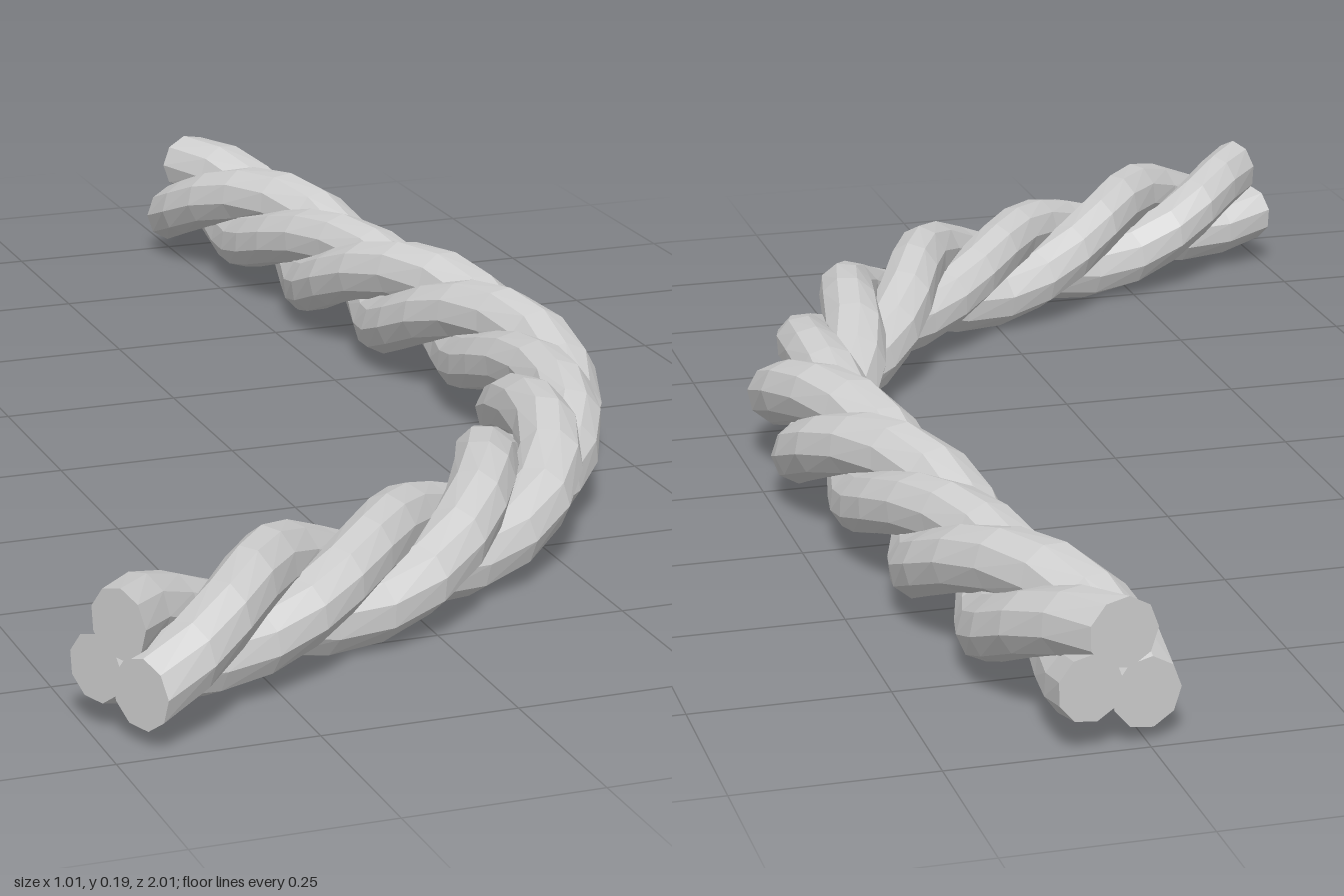
import * as THREE from 'three';

const SEGMENTS = 34;   // rings along the rope
const SIDES = 9;       // facets around each strand
const PITCH = 0.70;    // rope length per full twist
const HEIGHT = 0.097;  // height of the rope's axis

// Axis of the rope, from the front end to the back end (x, z)
const axis = new THREE.CatmullRomCurve3([
  [-0.475, 0.925], [-0.2, 0.785], [0, 0.672], [0.19, 0.52], [0.325, 0.33],
  [0.4, 0.12], [0.41, -0.1], [0.375, -0.4], [0.335, -0.72], [0.288, -0.992],
].map(([x, z]) => new THREE.Vector3(x, HEIGHT, z)));

// One strand: a faceted section carried around the axis, square-cut at both ends
function strandGeometry(phase, offset, radius) {
  const positions = [];
  const index = [];
  const length = axis.getLength();
  const up = new THREE.Vector3(0, 1, 0);

  for (let i = 0; i <= SEGMENTS; i++) {
    const t = i / SEGMENTS;
    const centre = axis.getPointAt(t);
    const side = axis.getTangentAt(t).cross(up).normalize();
    const twist = phase + (t * length / PITCH) * Math.PI * 2;
    const put = (a, b) => {
      const p = centre.clone().addScaledVector(side, a).addScaledVector(up, b);
      positions.push(p.x, p.y, p.z);
    };
    for (let j = 0; j < SIDES; j++) {
      const angle = twist + (j / SIDES) * Math.PI * 2;
      put(offset * Math.cos(twist) + radius * Math.cos(angle),
        offset * Math.sin(twist) + radius * Math.sin(angle));
    }
  }

  const at = (i, j) => i * SIDES + (j % SIDES);
  for (let i = 0; i < SEGMENTS; i++) {
    for (let j = 0; j < SIDES; j++) {
      index.push(at(i, j), at(i + 1, j), at(i, j + 1));
      index.push(at(i + 1, j), at(i + 1, j + 1), at(i, j + 1));
    }
  }
  // End caps
  for (let j = 1; j < SIDES - 1; j++) {
    index.push(at(0, 0), at(0, j), at(0, j + 1));
    index.push(at(SEGMENTS, 0), at(SEGMENTS, j + 1), at(SEGMENTS, j));
  }

  const geometry = new THREE.BufferGeometry();
  geometry.setAttribute('position', new THREE.Float32BufferAttribute(positions, 3));
  geometry.setIndex(index);
  geometry.computeVertexNormals();
  return geometry;
}

export function createModel() {
  const rope = new THREE.Group();
  rope.name = 'rope';
  const material = new THREE.MeshStandardMaterial({ color: 0xcccccc, flatShading: true });

  // Three strands a third of a turn apart, the last one lying slightly deeper
  const strands = [
    ['firstStrand', 85, 0.049, 0.045],
    ['secondStrand', -35, 0.049, 0.045],
    ['thirdStrand', 205, 0.037, 0.043],
  ];
  for (const [name, degrees, offset, radius] of strands) {
    const geometry = strandGeometry(THREE.MathUtils.degToRad(degrees), offset, radius);
    const strand = new THREE.Mesh(geometry, material);
    strand.name = name;
    rope.add(strand);
  }
  return rope;
}
